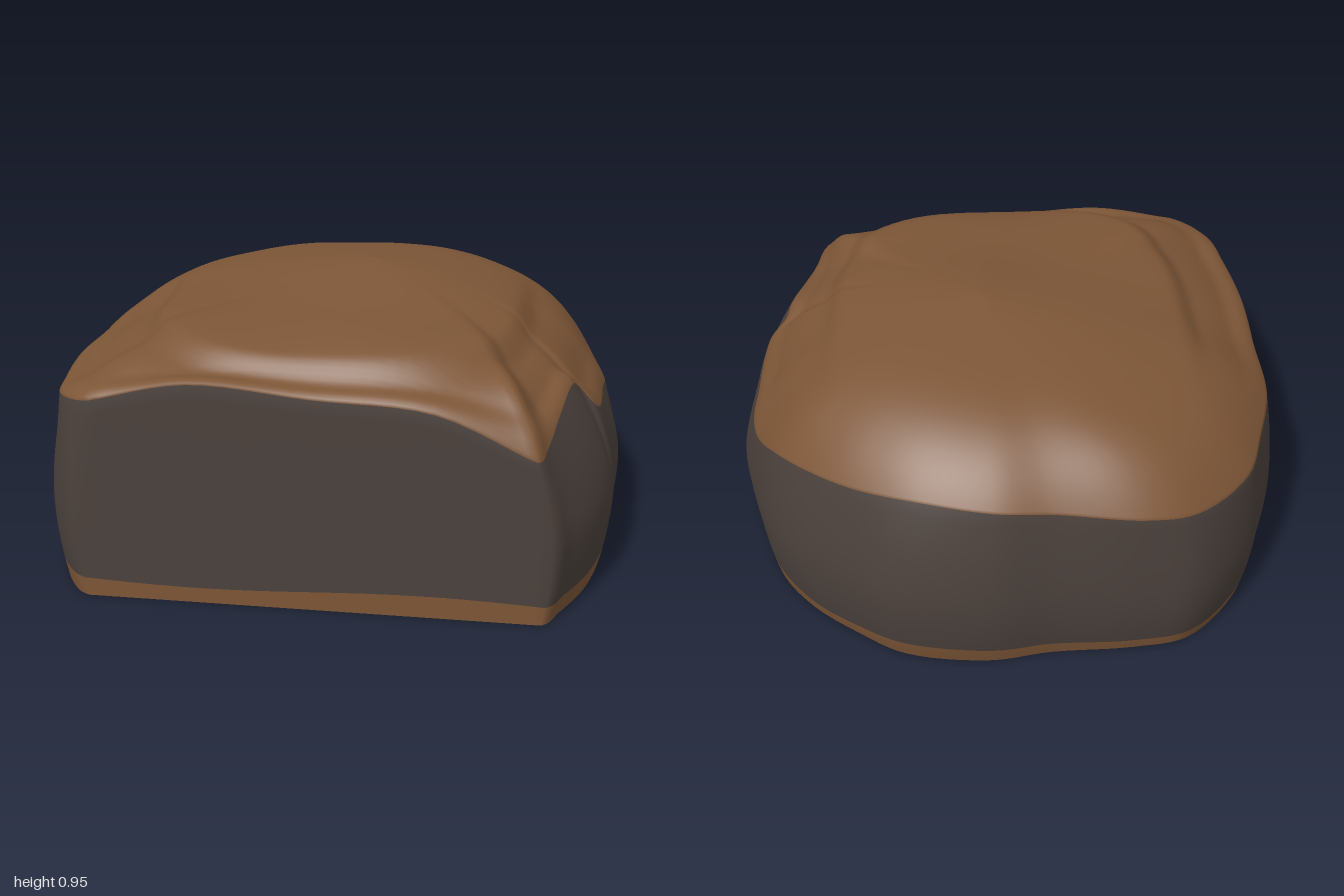
import * as THREE from 'three';

const SEG = 174;
const CENTRE = new THREE.Vector3(0.1, 0.95, -0.01);

// Around the boulder: widest x, widest z, height of the earth edge, its x, its z
const OUTLINE = [
  [-0.78, 0.9, 0.7, -0.72, 0.9], [-0.85, 0.84, 0.68, -0.84, 0.8],
  [-0.94, 0.65, 0.67, -0.88, 0.62], [-1, 0.35, 0.66, -0.91, 0.35],
  [-0.96, 0.08, 0.64, -0.91, 0.08], [-0.95, -0.2, 0.62, -0.91, -0.2],
  [-0.88, -0.42, 0.6, -0.85, -0.42], [-0.8, -0.61, 0.57, -0.78, -0.6],
  [-0.6, -0.82, 0.57, -0.58, -0.79], [-0.4, -0.86, 0.59, -0.4, -0.84],
  [-0.1, -0.87, 0.62, -0.1, -0.83], [0.12, -0.9, 0.64, 0.1, -0.84],
  [0.42, -0.85, 0.65, 0.35, -0.78], [0.6, -0.73, 0.63, 0.55, -0.68],
  [0.76, -0.59, 0.61, 0.7, -0.56], [0.88, -0.42, 0.58, 0.83, -0.41],
  [0.95, -0.2, 0.5, 0.92, -0.2], [0.98, -0.08, 0.5, 0.94, -0.08],
  [1, 0.03, 0.52, 0.93, 0.05], [0.98, 0.25, 0.53, 0.92, 0.27],
  [0.98, 0.33, 0.56, 0.9, 0.34], [0.975, 0.37, 0.63, 0.84, 0.36],
  [0.97, 0.43, 0.66, 0.82, 0.42], [0.92, 0.63, 0.62, 0.78, 0.63],
  [0.84, 0.8, 0.58, 0.75, 0.8], [0.78, 0.9, 0.57, 0.72, 0.9],
  [0.4, 0.9, 0.71, 0.4, 0.9], [0, 0.9, 0.74, 0, 0.9], [-0.4, 0.9, 0.77, -0.4, 0.9],
];

const smooth = THREE.MathUtils.smoothstep;

// Samples a closed smooth curve; the front stays on one flat plane
function loop(points) {
  const curve = new THREE.CatmullRomCurve3(points, true, 'centripetal');
  return Array.from({ length: SEG }, (_, i) => {
    const p = curve.getPoint(i / SEG);
    p.z = Math.min(p.z, 0.9);
    return p;
  });
}

// Skins a stack of closed rings
function skin(rings) {
  const positions = rings.flat().flatMap((p) => [p.x, p.y, p.z]);
  const index = [];
  for (let j = 0; j < rings.length - 1; j++) {
    for (let i = 0; i < SEG; i++) {
      const n = (i + 1) % SEG;
      const a = j * SEG + i, b = a + SEG, c = (j + 1) * SEG + n, d = j * SEG + n;
      index.push(a, b, c, a, c, d);
    }
  }
  const geometry = new THREE.BufferGeometry();
  geometry.setAttribute('position', new THREE.Float32BufferAttribute(positions, 3));
  geometry.setIndex(index);
  geometry.computeVertexNormals();
  return geometry;
}

// Point on the bulging side wall at height y
function wallPoint(foot, mid, edge, y) {
  const p = y < mid.y
    ? mid.clone().lerp(foot, ((mid.y - y) / mid.y) ** 2)
    : mid.clone().lerp(edge, ((y - mid.y) / (edge.y - mid.y)) ** 1.6);
  p.y = y;
  return p;
}

// Point on the domed top; k runs from 1 at the edge to 0 at the peak
function capPoint(edge, k) {
  const p = edge.clone().lerp(CENTRE, 1 - k);
  const hump = 0.08 * (1 - smooth(Math.hypot(p.x - CENTRE.x, p.z * 0.85), -0.15, 0.68)) / 0.9;
  const ripple = 0.006 * Math.sin(7 * p.x - 4 * p.z) * Math.sin(6 * p.z + 3 * p.x);
  const plateau = 0.87 + hump + ripple;
  const power = 5 + 4 * smooth(edge.z, 0.7, 0.9);
  p.y = edge.y + (plateau - edge.y) * (1 - k ** power);
  // Worn step that drops around the front and sides
  const ellipse = Math.abs(p.x / 0.64) ** 3 + Math.abs(p.z / 0.8) ** 3;
  const fade = smooth(p.z, -0.4, 0.15) * smooth(1 - k, 0, 0.1);
  p.y -= 0.045 * fade * smooth(ellipse, 0.85, 1.25);
  return p;
}

export function createModel() {
  const group = new THREE.Group();
  const earth = new THREE.MeshStandardMaterial({ color: 0x7d5637 });
  earth.name = 'earth brown';
  const stone = new THREE.MeshStandardMaterial({ color: 0x4b413c });
  stone.name = 'dark stone';

  const mid = loop(OUTLINE.map(([x, z]) => new THREE.Vector3(x, 0.26, z)));
  const edge = loop(OUTLINE.map(([, , h, x, z]) => new THREE.Vector3(x, h, z)));
  const foot = mid.map((p) => new THREE.Vector3(p.x * 0.965, 0, p.z > 0 ? p.z : p.z * 0.96));
  const rim = mid.map((p) => 0.055 + 0.012 * Math.sin(4 * p.x + 7 * p.z) + 0.01 * smooth(p.z, 0.7, 0.9));

  // Rings from the ground up: base strip, stone wall, earth top
  const rings = [];
  const baseSteps = 2, wallSteps = 14, capSteps = 48;
  for (let j = 0; j < baseSteps; j++) {
    rings.push(mid.map((m, i) => wallPoint(foot[i], m, edge[i], rim[i] * j / baseSteps)));
  }
  for (let j = 0; j < wallSteps; j++) {
    rings.push(mid.map((m, i) =>
      wallPoint(foot[i], m, edge[i], THREE.MathUtils.lerp(rim[i], edge[i].y, j / wallSteps))));
  }
  for (let j = 0; j <= capSteps; j++) {
    const k = 1 - (j / capSteps) ** 1.3;
    rings.push(edge.map((e) => capPoint(e, k)));
  }

  const body = skin(rings);
  const perRing = SEG * 6;
  body.addGroup(0, baseSteps * perRing, 0);
  body.addGroup(baseSteps * perRing, wallSteps * perRing, 1);
  body.addGroup((baseSteps + wallSteps) * perRing, capSteps * perRing, 0);
  const boulder = new THREE.Mesh(body, [earth, stone]);
  boulder.name = 'boulder';

  // Flat underside
  const underside = new THREE.Mesh(
    skin([foot.map(() => new THREE.Vector3(0, 0, 0)), foot]), earth);
  underside.name = 'underside';

  group.add(boulder, underside);
  return group;
}
